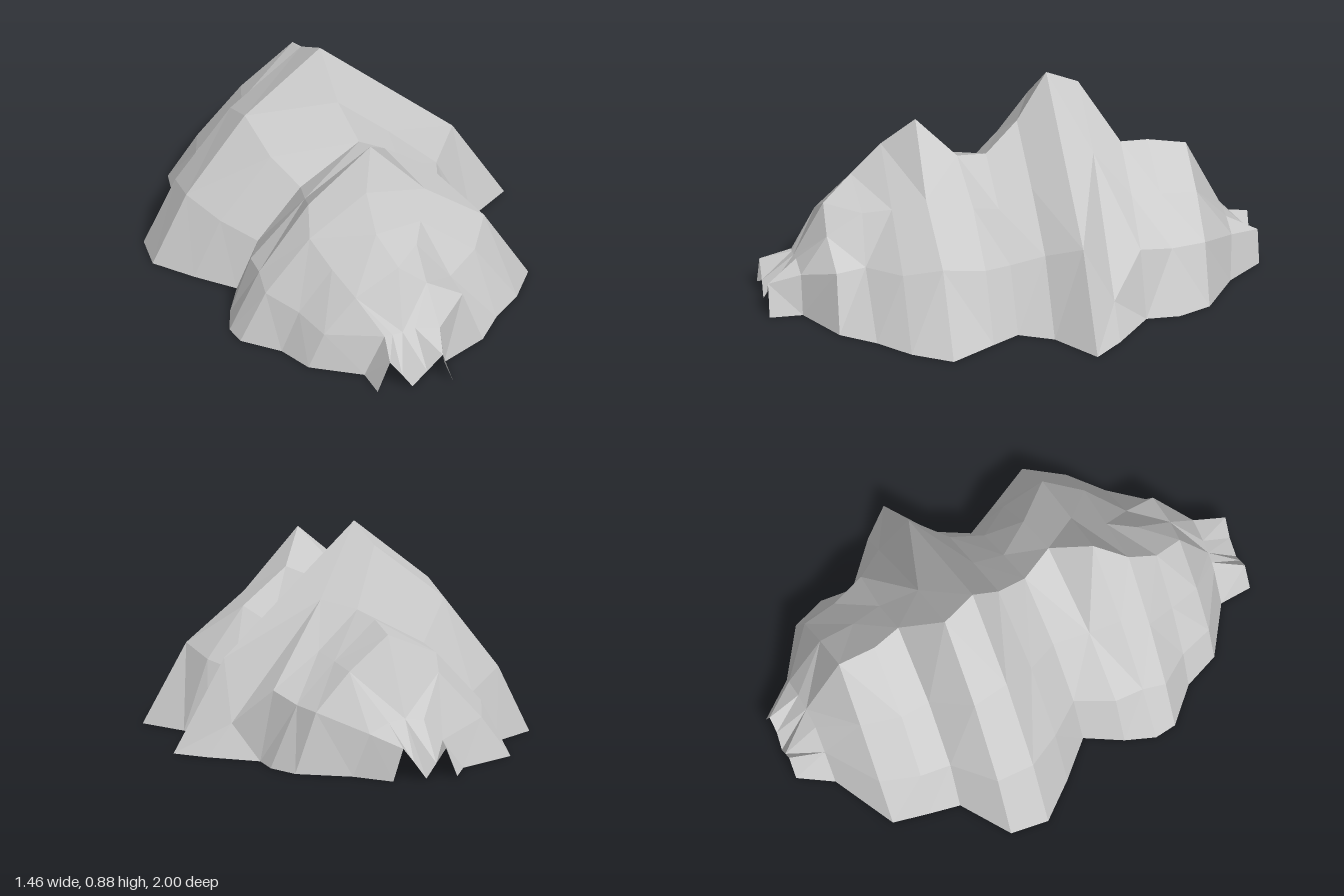
import * as THREE from 'three';

// Each section: left base x, z | crest x, y, z | right base x, z | bulge of left and right flank
const SECTIONS = [
  [-0.53, 0.65, -0.17, 0.41, 0.73, 0.17, 0.80, 0.03, 0.07],
  [-0.57, 0.50, -0.20, 0.50, 0.60, 0.29, 0.69, 0.02, 0.00],
  [-0.68, 0.36, -0.18, 0.62, 0.48, 0.43, 0.60, 0.00, 0.00],
  [-0.68, 0.27, -0.10, 0.745, 0.365, 0.55, 0.47, -0.01, 0.00],
  [-0.62, 0.16, 0.03, 0.62, 0.24, 0.48, 0.27, 0.07, 0.05],
  [-0.52, 0.03, -0.01, 0.58, 0.10, 0.44, 0.15, 0.03, 0.03],
  [-0.63, -0.12, -0.03, 0.69, -0.04, 0.53, 0.03, 0.02, 0.02],
  [-0.73, -0.28, -0.04, 0.875, -0.17, 0.73, -0.07, 0.00, 0.00],
  [-0.69, -0.43, -0.05, 0.80, -0.31, 0.65, -0.20, 0.00, 0.00],
  [-0.48, -0.53, 0.10, 0.58, -0.43, 0.51, -0.37, 0.03, 0.04],
  [-0.44, -0.65, 0.09, 0.56, -0.55, 0.54, -0.50, 0.03, 0.03],
  [-0.39, -0.79, 0.12, 0.53, -0.70, 0.51, -0.64, -0.04, 0.06],
];

// Forked spurs at both ends, listed front to back
const FRONT_SPURS = [
  [[-0.37, 0, 0.93], [-0.32, 0.13, 0.94], [-0.27, 0.06, 0.95], [-0.23, 0, 0.96],
    [-0.17, 0.06, 0.97], [-0.11, 0.13, 0.99], [-0.07, 0, 1]],
  [[-0.36, 0, 0.80], [-0.28, 0.17, 0.82], [-0.25, 0.175, 0.83], [-0.21, 0.18, 0.84],
    [-0.16, 0.19, 0.85], [-0.06, 0.17, 0.87], [-0.04, 0, 0.87]],
];
const BACK_SPURS = [
  [[-0.12, 0, -0.88], [-0.03, 0.12, -0.87], [0.05, 0.21, -0.86], [0.13, 0.22, -0.85],
    [0.20, 0.21, -0.84], [0.28, 0.17, -0.83], [0.34, 0, -0.80]],
  [[-0.02, 0, -1], [0.03, 0.12, -1], [0.07, 0.06, -0.99], [0.11, 0, -0.98],
    [0.16, 0.07, -0.97], [0.21, 0.13, -0.97], [0.25, 0, -0.96]],
];

// Seven points over the ridge: base, two shoulders, crest, two shoulders, base
function sectionPoints([lx, lz, cx, cy, cz, rx, rz, bulgeL, bulgeR]) {
  const shoulder = (bx, bz, t, h, bulge) => [
    THREE.MathUtils.lerp(bx, cx, t - bulge), cy * (h + bulge * 0.6), THREE.MathUtils.lerp(bz, cz, t),
  ];
  return [
    [lx, 0, lz],
    shoulder(lx, lz, 0.2, 0.34, bulgeL),
    shoulder(lx, lz, 0.55, 0.71, bulgeL),
    [cx, cy, cz],
    shoulder(rx, rz, 0.64, 0.71, bulgeR),
    shoulder(rx, rz, 0.28, 0.42, bulgeR),
    [rx, 0, rz],
  ];
}

// Skin neighbouring rows with triangles, splitting each quad on its shorter diagonal
function loft(rows) {
  const pts = rows.map((row) => row.map((p) => new THREE.Vector3(...p)));
  const out = [];
  for (let i = 0; i < pts.length - 1; i++) {
    for (let j = 0; j < pts[i].length - 1; j++) {
      const a = pts[i][j], b = pts[i][j + 1], c = pts[i + 1][j + 1], d = pts[i + 1][j];
      const tris = a.distanceTo(c) < b.distanceTo(d) ? [a, b, c, a, c, d] : [a, b, d, b, c, d];
      tris.forEach((p) => out.push(p.x, p.y, p.z));
    }
  }
  const geometry = new THREE.BufferGeometry();
  geometry.setAttribute('position', new THREE.Float32BufferAttribute(out, 3));
  geometry.computeVertexNormals();
  return geometry;
}

export function createModel() {
  const stone = new THREE.MeshStandardMaterial({
    color: 0xcccccc, flatShading: true, side: THREE.DoubleSide,
  });
  stone.name = 'grey stone';

  const body = SECTIONS.map(sectionPoints);
  // Notch low on the front right
  body[0][4] = [-0.06, 0.32, 0.76];
  body[0][5] = [0.09, 0.23, 0.78];
  body[1][4] = [-0.03, 0.41, 0.62];
  body[1][5] = [0.10, 0.24, 0.66];
  // Dip below the front peak, with a rib behind it
  body[3][4] = [0.12, 0.50, 0.41];
  body[4][4] = [0.22, 0.48, 0.25];
  // Hollow behind the main peak's right flank
  body[8][4] = [0.18, 0.60, -0.28];
  body[8][5] = [0.55, 0.13, -0.217];
  body[9][5] = [0.45, 0.28, -0.37];

  const group = new THREE.Group();
  group.name = 'rockyMountain';
  const add = (name, rows) => {
    const mesh = new THREE.Mesh(loft(rows), stone);
    mesh.name = name;
    group.add(mesh);
  };
  add('frontSpurs', [...FRONT_SPURS, body[0]]);
  add('frontPeak', body.slice(0, 6));
  add('mainPeak', body.slice(5, 10));
  add('backShoulder', body.slice(9));
  add('backSpurs', [body[body.length - 1], ...BACK_SPURS]);
  return group;
}
